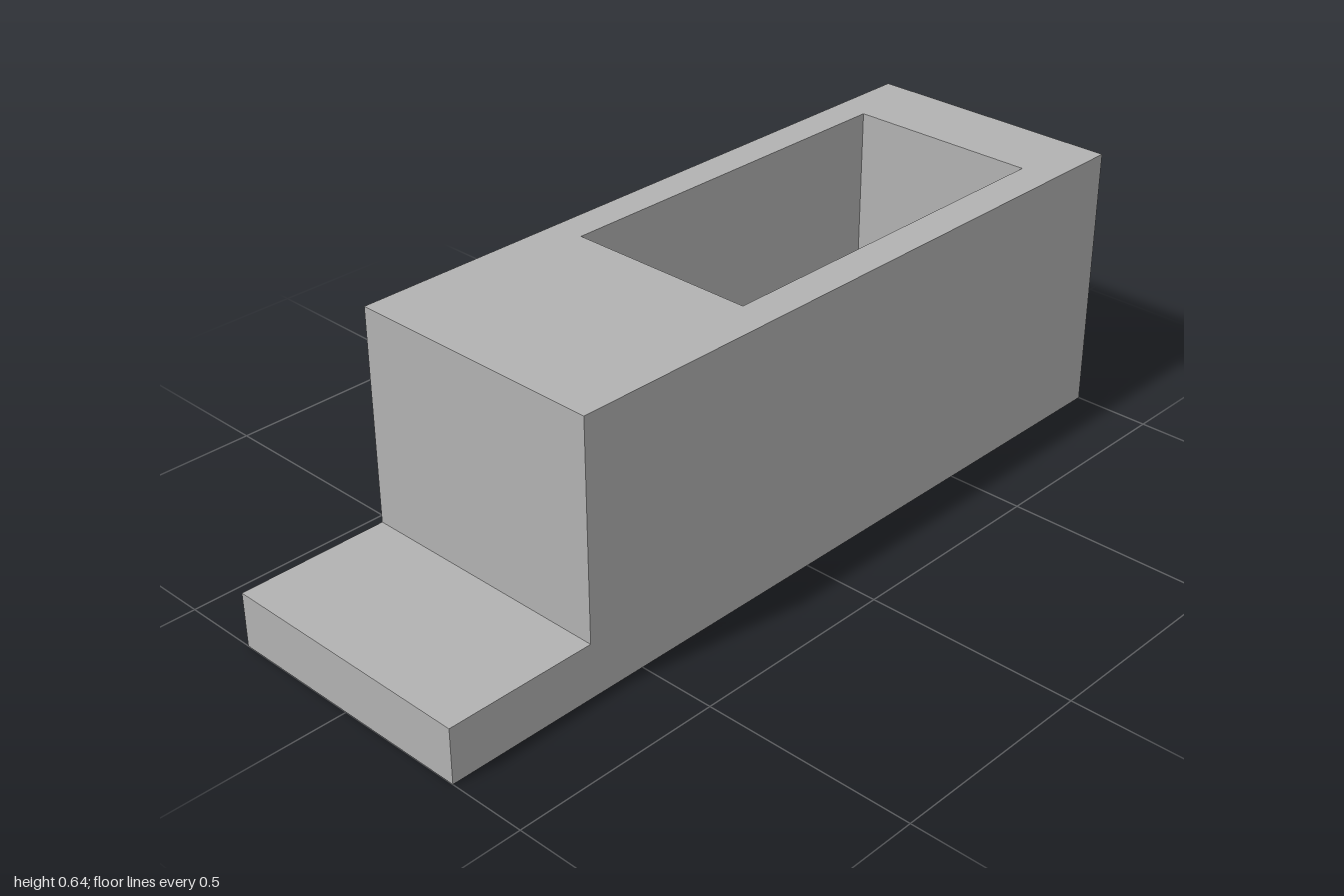
import * as THREE from 'three';

const X0 = -1, X1 = 1, STEP = -0.64, D = 0.315;        // outer extents, step position, half depth
const BASE = 0.13, TOP = 0.64;                         // tab and body heights
const PX0 = -0.12, PX1 = 0.81, PZ0 = -0.235, PZ1 = 0.23; // pocket
const HX = 0.57, HR = 0.038;                           // drain hole

const rect = (C, a, b, c, d) => {
  const p = new C();
  p.moveTo(a, c); p.lineTo(b, c); p.lineTo(b, d); p.lineTo(a, d); p.closePath();
  return p;
};

export function createModel() {
  const group = new THREE.Group();
  const grey = new THREE.MeshStandardMaterial({ color: 0xb2b2b2, side: THREE.DoubleSide });
  grey.name = 'plain grey';

  const add = (name, geometry) => {
    const mesh = new THREE.Mesh(geometry, grey);
    mesh.name = name;
    group.add(mesh);
    return mesh;
  };
  // Horizontal face; shape coordinates are x and -z
  const level = (name, shape, y, up = true) => {
    const g = new THREE.ShapeGeometry(shape, 32);
    if (up) g.rotateX(-Math.PI / 2);
    else g.scale(1, -1, 1).rotateX(Math.PI / 2);
    if (!up) {
      // Mirroring reverses the corners, so turn them back
      g.index.array.reverse();
      g.computeVertexNormals();
    }
    g.translate(0, y, 0);
    return add(name, g);
  };
  // Upright rectangle centred at x, z and turned about y
  const wall = (name, width, y0, y1, x, z, turn) =>
    add(name, new THREE.PlaneGeometry(width, y1 - y0).rotateY(turn).translate(x, (y0 + y1) / 2, z));
  const drill = shape => {
    shape.holes.push(new THREE.Path().absarc(HX, 0, HR, 0, Math.PI * 2, true));
    return shape;
  };

  // Stepped front and back sides
  const profile = new THREE.Shape([[X0, 0], [X1, 0], [X1, TOP], [STEP, TOP], [STEP, BASE], [X0, BASE]]
    .map(p => new THREE.Vector2(...p)));
  add('frontSide', new THREE.ShapeGeometry(profile).translate(0, 0, D));
  add('backSide', new THREE.ShapeGeometry(profile).rotateY(Math.PI).translate(0, 0, -D)).geometry.scale(-1, 1, 1);
  const back = group.children[1].geometry;
  back.index.array.reverse();
  back.computeVertexNormals();

  // End walls and step
  wall('leftEnd', 2 * D, 0, TOP, X1, 0, Math.PI / 2);
  wall('rightEnd', 2 * D, 0, BASE, X0, 0, -Math.PI / 2);
  wall('stepWall', 2 * D, BASE, TOP, STEP, 0, -Math.PI / 2);

  // Horizontal faces
  level('underside', drill(rect(THREE.Shape, X0, X1, -D, D)), 0, false);
  level('tabTop', rect(THREE.Shape, X0, STEP, -D, D), BASE);
  const top = rect(THREE.Shape, STEP, X1, -D, D);
  top.holes.push(rect(THREE.Path, PX0, PX1, -PZ1, -PZ0));
  level('bodyTop', top, TOP);
  level('pocketFloor', drill(rect(THREE.Shape, PX0, PX1, -PZ1, -PZ0)), BASE);

  // Pocket walls, facing inward
  const cx = (PX0 + PX1) / 2, cz = (PZ0 + PZ1) / 2, w = PX1 - PX0, d = PZ1 - PZ0;
  wall('pocketBack', w, BASE, TOP, cx, PZ0, 0);
  wall('pocketFront', w, BASE, TOP, cx, PZ1, Math.PI);
  wall('pocketRight', d, BASE, TOP, PX0, cz, Math.PI / 2);
  wall('pocketLeft', d, BASE, TOP, PX1, cz, -Math.PI / 2);

  // Drain hole through the pocket floor
  add('drainHole', new THREE.CylinderGeometry(HR, HR, BASE, 48, 1, true).translate(HX, BASE / 2, 0));
  return group;
}
